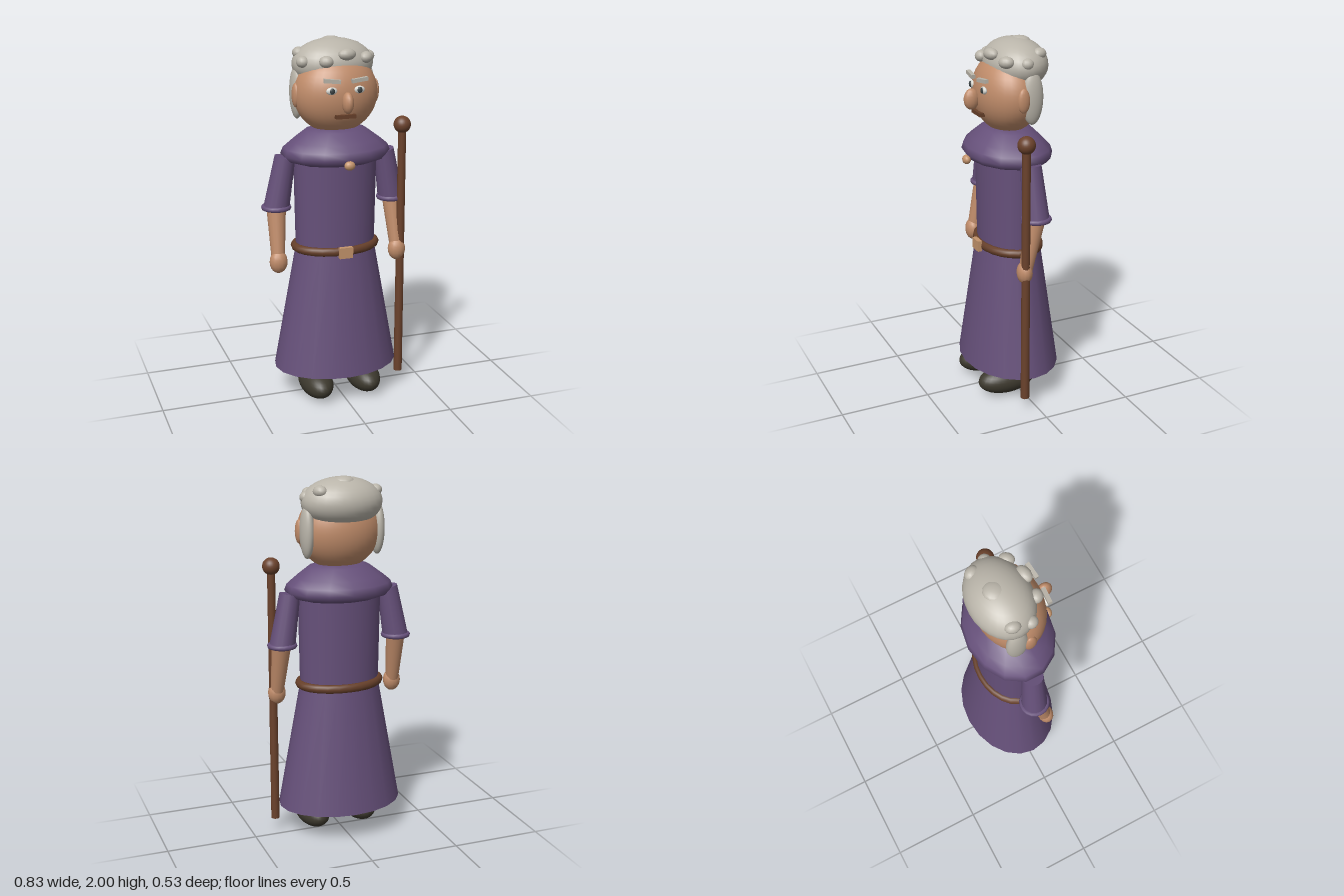
import * as THREE from 'three';

export function createModel() {
  const model = new THREE.Group();
  const mat = (name, color) => {
    const m = new THREE.MeshStandardMaterial({ color });
    m.name = name;
    return m;
  };
  const robe = mat('purple cloth', 0x66507a);
  const skin = mat('skin', 0xc08c6a);
  const hair = mat('grey hair', 0xbab5aa);
  const wood = mat('brown wood', 0x6b422c);
  const leather = mat('belt leather', 0x67402a);
  const boot = mat('dark boot', 0x3d392e);
  const metal = mat('buckle', 0xc4946c);
  const white = mat('eye white', 0xd8d8d2);
  const dark = mat('iris', 0x3c4446);

  const add = (name, geo, material, pos = [0, 0, 0], scale = [1, 1, 1], rot = [0, 0, 0]) => {
    const m = new THREE.Mesh(geo, material);
    m.name = name;
    m.position.set(...pos);
    m.scale.set(...scale);
    m.rotation.set(...rot);
    model.add(m);
    return m;
  };
  const ball = new THREE.SphereGeometry(1, 28, 18);
  const smallBall = new THREE.SphereGeometry(1, 14, 10);
  const lathe = (pts, sides) =>
    new THREE.LatheGeometry(pts.map(([r, y]) => new THREE.Vector2(r, y)), sides);
  // Tapered limb between two points
  const limb = (name, a, b, rA, rB, material, sides = 16) => {
    const from = new THREE.Vector3(...a), to = new THREE.Vector3(...b);
    const dir = to.clone().sub(from);
    const m = add(name, new THREE.CylinderGeometry(rB, rA, dir.length(), sides), material,
      from.clone().add(to).multiplyScalar(0.5).toArray());
    m.quaternion.setFromUnitVectors(new THREE.Vector3(0, 1, 0), dir.normalize());
    return m;
  };

  // Robe: flared skirt, torso, shoulder yoke and cowl
  add('skirt', new THREE.CylinderGeometry(0.222, 0.35, 0.7, 20), robe, [0, 0.515, 0], [1, 1, 0.755]);
  add('torso', new THREE.CylinderGeometry(0.232, 0.222, 0.6, 24), robe, [0, 1.13, 0], [1, 1, 0.7]);
  add('yoke', ball, robe, [0, 1.37, 0], [0.24, 0.07, 0.175]);
  add('cowl', lathe([[0.17, 1.37], [0.23, 1.345], [0.275, 1.36], [0.302, 1.39], [0.288, 1.425],
    [0.245, 1.46], [0.17, 1.515], [0.12, 1.53], [0, 1.53]], 14), robe, [0, 0, 0.006], [1, 1, 0.765]);
  add('brooch', smallBall, metal, [0, 1.365, 0.24], [0.03, 0.025, 0.022]);

  // Belt
  const beltShape = new THREE.TorusGeometry(0.226, 0.024, 10, 24);
  beltShape.rotateX(Math.PI / 2);
  add('belt', beltShape, leather, [0, 0.868, 0], [1, 1, 0.72]);
  add('buckle', new THREE.BoxGeometry(0.075, 0.06, 0.025), metal, [0, 0.868, 0.183]);

  // Head and face
  add('head', new THREE.SphereGeometry(1, 32, 24), skin, [0, 1.71, 0.008], [0.23, 0.215, 0.175]);
  add('nose', smallBall, skin, [0, 1.69, 0.207], [0.03, 0.057, 0.043]);
  add('mouth', new THREE.BoxGeometry(0.11, 0.02, 0.03), leather, [0, 1.613, 0.17]);

  for (const s of [1, -1]) {
    const side = s > 0 ? 'left' : 'right';
    add(side + 'Ear', smallBall, skin, [s * 0.222, 1.71, 0.012], [0.02, 0.065, 0.035]);
    add(side + 'Eye', smallBall, white, [s * 0.075, 1.75, 0.17], [0.031, 0.02, 0.013]);
    add(side + 'Iris', smallBall, dark, [s * 0.075, 1.75, 0.18], [0.014, 0.016, 0.007]);
    add(side + 'Eyebrow', new THREE.BoxGeometry(0.088, 0.02, 0.022), hair,
      [s * 0.075, 1.802, 0.177], [1, 1, 1], [0, s * 0.1, s * 0.1]);
    add(side + 'SideLock', ball, hair, [s * 0.198, 1.715, -0.048], [0.037, 0.143, 0.06]);

    // Arms: sleeve, rolled cuff, forearm, hand
    limb(side + 'Sleeve', [s * 0.281, 1.38, 0], [s * 0.33, 1.1, -0.01], 0.056, 0.07, robe);
    const cuff = new THREE.TorusGeometry(0.068, 0.014, 8, 18);
    cuff.rotateX(Math.PI / 2);
    add(side + 'Cuff', cuff, robe, [s * 0.331, 1.103, -0.01]);
    limb(side + 'Forearm', [s * 0.332, 1.14, -0.012], [s * 0.343, 0.83, 0.055], 0.055, 0.036, skin);
    add(side + 'Hand', smallBall, skin, [s * 0.343, 0.815, 0.062], [0.05, 0.063, 0.042]);

    // Feet
    add(side + 'Ankle', new THREE.CylinderGeometry(0.07, 0.07, 0.12, 16), robe, [s * 0.14, 0.16, 0.01]);
    add(side + 'Shoe', ball, boot, [s * 0.14, 0.08, 0.073], [0.09, 0.08, 0.168]);
  }

  // Hair cap with curls around the brow
  add('hairCap', ball, hair, [0, 1.862, -0.04], [0.222, 0.133, 0.165]);
  add('crownCurl', smallBall, hair, [0, 1.972, -0.068], [0.058, 0.028, 0.058]);
  const curls = [
    [-0.18, 1.92, -0.065, 0.042], [-0.187, 1.885, 0.03, 0.036], [-0.085, 1.892, 0.112, 0.038],
    [0.03, 1.925, 0.108, 0.05], [0.147, 1.9, 0.075, 0.042], [0.193, 1.892, -0.02, 0.035],
    [0.147, 1.93, -0.11, 0.042],
  ];
  for (const [x, y, z, r] of curls) {
    add('curl', smallBall, hair, [x, y, z], [r, 0.031, 0.034], [0, -Math.atan2(z + 0.04, x) + Math.PI / 2, 0]);
  }

  // Walking staff
  add('staff', new THREE.CylinderGeometry(0.022, 0.024, 1.43, 12), wood, [0.363, 0.785, 0.065]);
  add('staffKnob', ball, wood, [0.363, 1.523, 0.065], [0.047, 0.047, 0.047]);

  return model;
}
